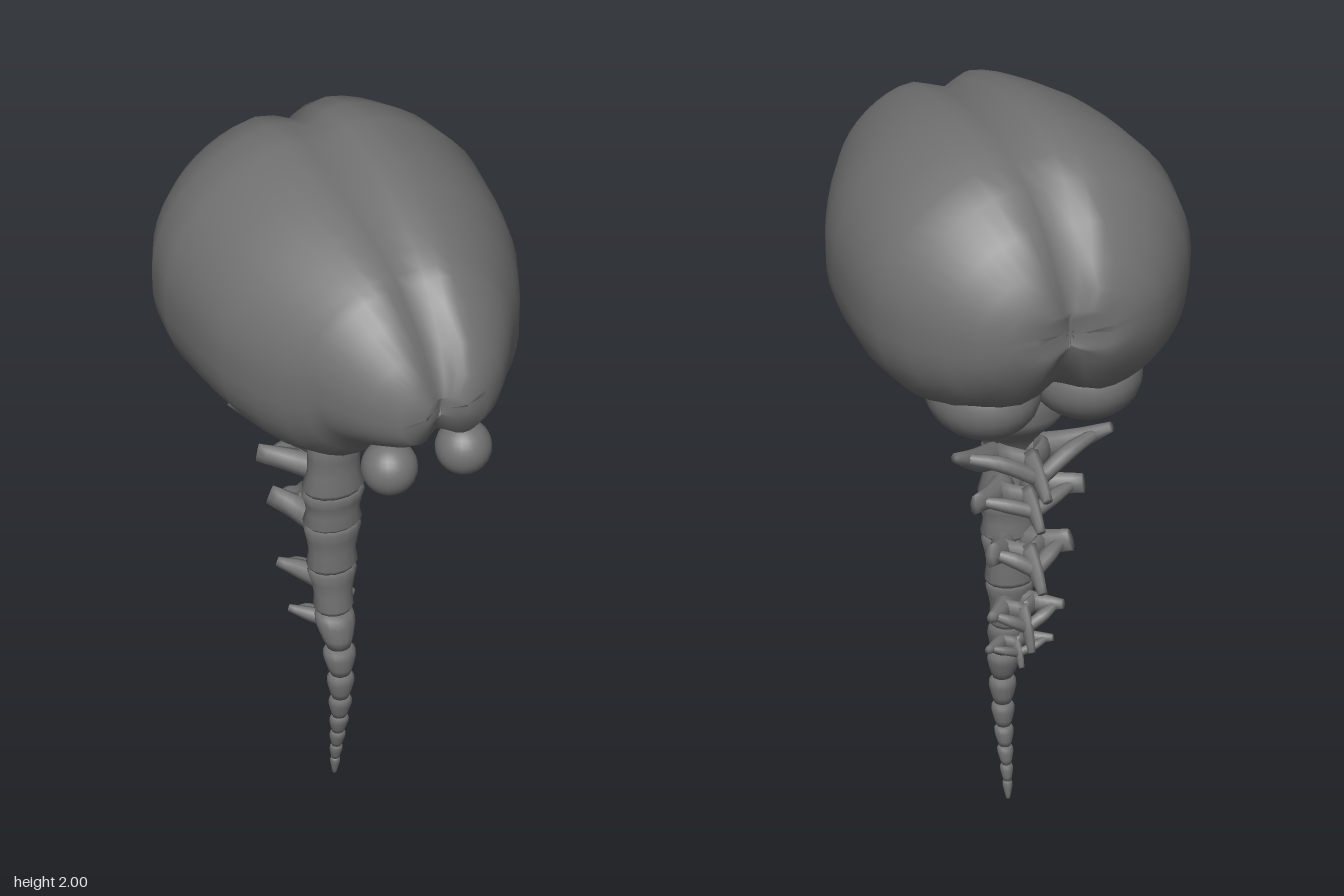
import * as THREE from 'three';

const material = new THREE.MeshStandardMaterial({ color: 0x727272 });
const V = (x, y, z) => new THREE.Vector3(x, y, z);
const mix = THREE.MathUtils.lerp;

// Closed smooth skin over a list of equal-sized rings, faces turned outward
function loft(rings) {
  const n = rings[0].length, pts = rings.flat(), index = [];
  const centre = ring => ring.reduce((s, p) => s.add(p), V(0, 0, 0)).divideScalar(n);
  const first = pts.length, last = first + 1, end = (rings.length - 1) * n;
  pts.push(centre(rings[0]), centre(rings[rings.length - 1]));
  for (let i = 0; i < n; i++) {
    const j = (i + 1) % n;
    for (let r = 0; r < end; r += n) index.push(r + i, r + j, r + n + i, r + j, r + n + j, r + n + i);
    index.push(first, j, i, last, end + i, end + j);
  }
  let volume = 0;
  for (let k = 0; k < index.length; k += 3) {
    const [a, b, c] = [0, 1, 2].map(m => pts[index[k + m]].clone().sub(pts[first]));
    volume += a.dot(b.cross(c));
  }
  if (volume < 0) index.reverse();
  const g = new THREE.BufferGeometry().setFromPoints(pts);
  g.setIndex(index);
  g.computeVertexNormals();
  return g;
}

// Horizontal oval ring
function oval(y, z, rx, rz, n = 14) {
  return Array.from({ length: n }, (_, i) => {
    const a = i / n * Math.PI * 2;
    return V(Math.cos(a) * rx, y, z + Math.sin(a) * rz);
  });
}

// Tapering bony prong along a curve; sizes are [half width, half height] pairs
function prong(path, sizes, scale, steps = 7, n = 8) {
  const curve = new THREE.CatmullRomCurve3(path), rings = [];
  for (let s = 0; s <= steps; s++) {
    const t = s / steps, f = t * (sizes.length - 1), k = Math.min(Math.floor(f), sizes.length - 2);
    const [w, h] = [0, 1].map(m => scale * mix(sizes[k][m], sizes[k + 1][m], f - k));
    const p = curve.getPoint(t), dir = curve.getTangent(t);
    const side = dir.clone().cross(V(0, 1, 0)).normalize(), up = side.clone().cross(dir);
    rings.push(Array.from({ length: n }, (_, i) => {
      const a = i / n * Math.PI * 2;
      return p.clone().addScaledVector(side, Math.cos(a) * w).addScaledVector(up, Math.sin(a) * h);
    }));
  }
  return loft(rings);
}

// Cerebrum: sections from back to front with a fissure dividing the hemispheres
function cerebrumGeometry() {
  const sections = [ // z, half width, top, bottom
    [-0.565, 0.01, 1.67, 1.54], [-0.568, 0.11, 1.68, 1.53], [-0.55, 0.18, 1.73, 1.49], [-0.52, 0.25, 1.79, 1.43],
    [-0.46, 0.32, 1.875, 1.35], [-0.37, 0.39, 1.955, 1.295], [-0.28, 0.435, 1.99, 1.265],
    [-0.16, 0.455, 2.01, 1.26], [0, 0.44, 1.995, 1.26], [0.1, 0.42, 1.98, 1.26],
    [0.2, 0.38, 1.955, 1.265], [0.28, 0.34, 1.93, 1.295], [0.34, 0.3, 1.905, 1.35], [0.37, 0.28, 1.885, 1.4],
    [0.43, 0.24, 1.835, 1.42], [0.5, 0.185, 1.765, 1.455], [0.545, 0.125, 1.7, 1.485],
    [0.572, 0.06, 1.65, 1.55], [0.565, 0.005, 1.64, 1.56]
  ];
  const n = 48;
  return loft(sections.map(([z, w, top, bottom]) => {
    const cy = bottom + 0.48 * (top - bottom);
    return Array.from({ length: n }, (_, i) => {
      const a = i / n * Math.PI * 2, c = Math.cos(a), s = Math.sin(a);
      const e = s < 0 ? 2 / 2.5 : 1;
      const x = w * Math.sign(c) * Math.abs(c) ** e;
      let y = cy + (s < 0 ? cy - bottom : top - cy) * Math.sign(s) * Math.abs(s) ** e;
      if (s > 0) y -= 0.035 * Math.exp(-((x / 0.06) ** 2));
      else y += 0.18 * (cy - bottom) * Math.exp(-((x / (0.25 * w)) ** 2)) * -s;
      return V(x, y, z * (1 - 0.075 * Math.exp(-((x / 0.045) ** 2))));
    });
  }));
}

export function createModel() {
  const model = new THREE.Group();
  const add = (geometry, name, parent = model) => {
    const mesh = new THREE.Mesh(geometry, material);
    mesh.name = name;
    parent.add(mesh);
    return mesh;
  };

  add(cerebrumGeometry(), 'cerebrum');

  // Paired cerebellum lobes and eyeballs
  for (const side of [1, -1]) {
    const label = side > 0 ? 'left' : 'right';
    const lobe = add(new THREE.SphereGeometry(1, 24, 16), label + 'CerebellumLobe');
    lobe.scale.set(0.15, 0.125, 0.17);
    lobe.position.set(side * 0.14, 1.325, -0.275);
    add(new THREE.SphereGeometry(0.074, 24, 16), label + 'Eyeball').position.set(side * 0.105, 1.37, 0.44);
  }

  // Brain stem: y, centre z, half width, half depth
  add(loft([[1.42, -0.12, 0.08, 0.1], [1.3, -0.12, 0.11, 0.125], [1.24, -0.12, 0.137, 0.145],
    [1.18, -0.12, 0.146, 0.155], [1.14, -0.12, 0.133, 0.125], [1.1, -0.12, 0.09, 0.085],
    [1.06, -0.115, 0.07, 0.065], [1.0, -0.11, 0.055, 0.05]].map(r => oval(...r, 20))), 'brainStem');

  // Vertebra column: each row is a joint with y, centre z, half width, half depth
  const spine = new THREE.Group();
  spine.name = 'spine';
  model.add(spine);
  const joints = [[1.06, -0.11, 0.07, 0.057], [0.9, -0.115, 0.084, 0.062], [0.79, -0.12, 0.077, 0.058],
    [0.65, -0.122, 0.066, 0.052], [0.52, -0.112, 0.05, 0.046], [0.42, -0.08, 0.041, 0.037],
    [0.34, -0.07, 0.034, 0.031], [0.265, -0.071, 0.029, 0.027], [0.2, -0.077, 0.024, 0.022],
    [0.145, -0.086, 0.02, 0.019], [0.095, -0.095, 0.016, 0.016], [0.05, -0.102, 0.013, 0.013], [0, -0.107, 0.007, 0.007]];
  const waisted = [[0, 0.9], [0.08, 1.03], [0.3, 0.96], [0.6, 0.9], [0.9, 1.03], [1, 0.9]];
  const tapered = [[0, 0.8], [0.12, 1.05], [0.35, 1.12], [0.75, 0.95], [1, 0.76]];
  for (let i = 0; i < joints.length - 1; i++) {
    const rings = (i < 4 ? waisted : tapered).map(([t, k]) => {
      const [y, z, rx, rz] = joints[i].map((v, m) => mix(v, joints[i + 1][m], t));
      return oval(y, z, rx * k, rz * k);
    });
    add(loft(rings), 'vertebra' + (i + 1), spine);
  }

  // Vertebral arches: root y, body z, wing tip [x, y, z], wing tip half height, spine tip [y, z], scale
  const arches = [
    [1.04, -0.12, [0.215, 1.135, -0.28], 0.014, [1.01, -0.375], 1],
    [0.95, -0.125, [0.15, 0.968, -0.25], 0.032, [0.895, -0.33], 0.9],
    [0.78, -0.13, [0.11, 0.815, -0.26], 0.034, [0.72, -0.34], 0.95],
    [0.6, -0.125, [0.1, 0.615, -0.235], 0.018, [0.51, -0.268], 0.75],
    [0.48, -0.105, [0.09, 0.495, -0.19], 0.018, [0.43, -0.2], 0.55]
  ];
  arches.forEach(([y, z, [wx, wy, wz], tip, [sy, sz], k], i) => {
    const arch = new THREE.Group();
    arch.name = 'vertebralArch' + (i + 1);
    spine.add(arch);
    const crown = mix(z, sz, 0.55), crownY = mix(y, wy, 0.3);
    const spikeMid = V(0, mix(crownY, sy, 0.4), mix(crown, sz, 0.5));
    for (const side of [1, -1]) {
      const label = side > 0 ? 'left' : 'right';
      // Wing sweeping outward and back
      const elbow = V(side * wx * 0.55, mix(y, wy, 0.4), mix(z, wz, 0.6));
      add(prong([V(side * 0.03 * k, y, z - 0.02), elbow, V(side * wx, wy, wz)],
        [[0.036, 0.042], [0.032, 0.036], [0.016, tip]], k), label + 'Wing', arch);
      // Web of bone between the wing and the rear spike
      add(prong([V(side * wx * 0.85, mix(y, wy, 0.8), mix(z, wz, 0.88)), V(side * wx * 0.42, mix(wy, spikeMid.y, 0.45), mix(wz, spikeMid.z, 0.3)), spikeMid],
        [[0.014, 0.014], [0.024, 0.022], [0.018, 0.022]], k), label + 'Web', arch);
      // Lamina closing the canal behind the body
      add(prong([V(side * 0.045 * k, y, z - 0.025), V(side * 0.055 * k, crownY, mix(z, crown, 0.65)), V(0, crownY, crown - 0.01)],
        [[0.02, 0.034], [0.02, 0.036], [0.016, 0.034]], k), label + 'Lamina', arch);
    }
    // Rear spike
    add(prong([V(0, crownY, crown + 0.01), spikeMid, V(0, sy, sz)],
      [[0.028, 0.046], [0.02, 0.032], [0.014, 0.014]], k), 'spinousProcess', arch);
  });

  return model;
}
